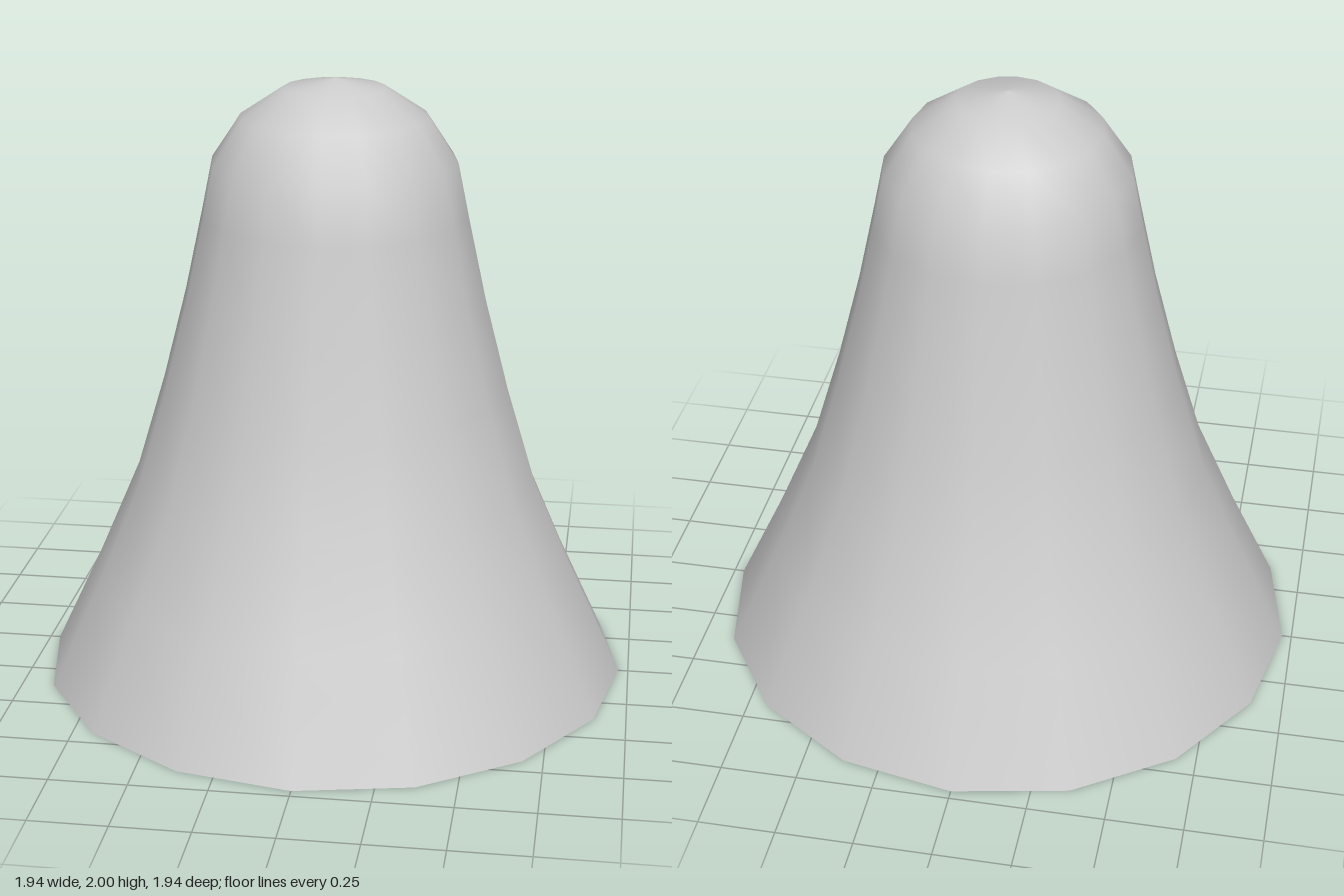
import * as THREE from 'three';

export function createModel() {
  const group = new THREE.Group();
  group.name = 'bell';

  // Flared wall rising to a rounded crown, [radius, height] from rim to tip
  const profile = [
    [0.968, 0], [0.806, 0.345], [0.666, 0.67], [0.571, 0.985], [0.492, 1.29],
    [0.433, 1.56], [0.397, 1.735], [0.302, 1.878], [0.164, 1.969], [0, 2],
  ].map(([r, y]) => new THREE.Vector2(r, y));

  // Open-bottomed shell, 16 sides, thin so both faces show
  const shell = new THREE.Mesh(
    new THREE.LatheGeometry(profile, 16),
    new THREE.MeshStandardMaterial({ color: 0xcccccc, side: THREE.DoubleSide })
  );
  shell.name = 'flaredShell';
  group.add(shell);
  return group;
}
